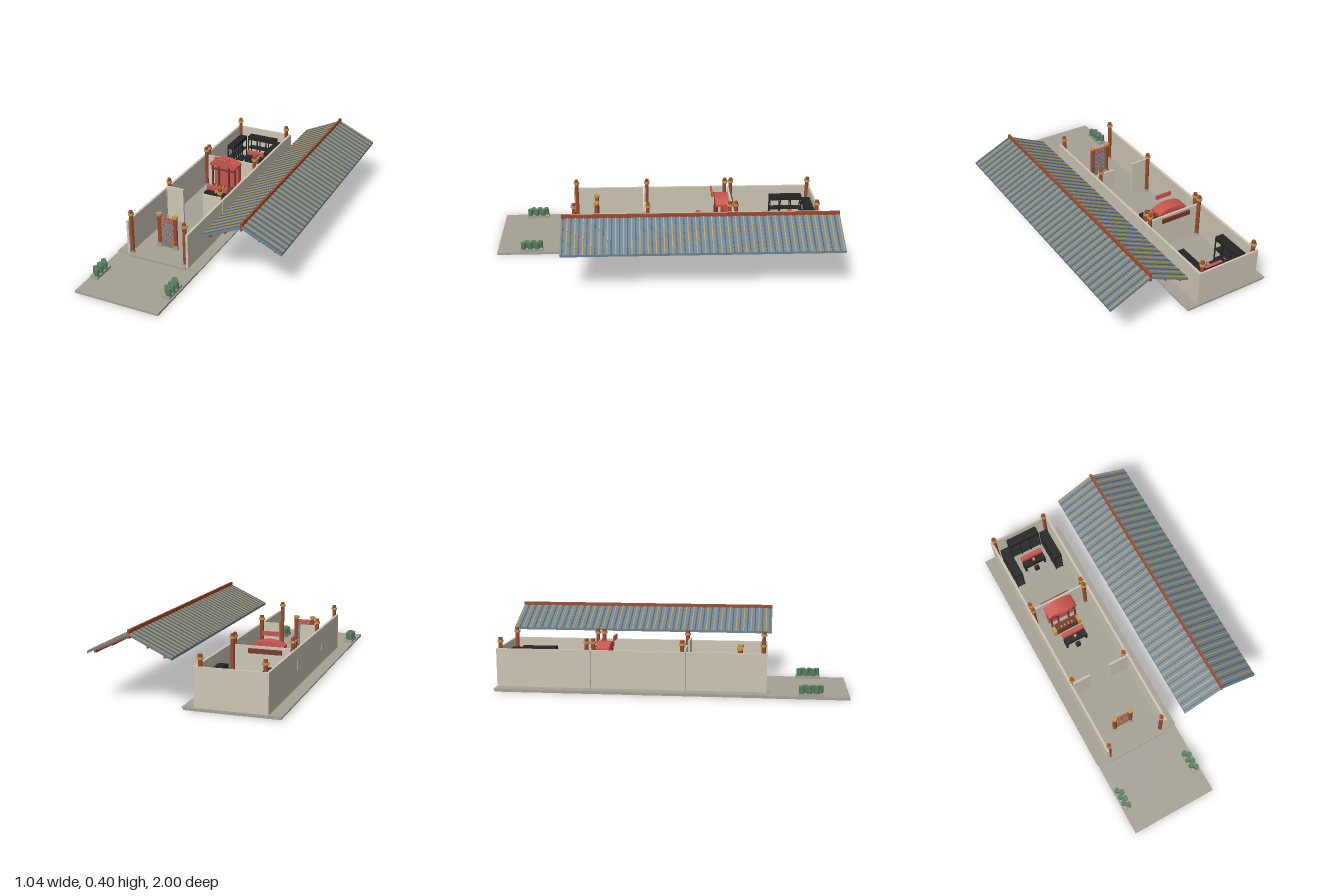
import * as THREE from 'three';

const mat = (name, color) => {
  const m = new THREE.MeshStandardMaterial({ color });
  m.name = name;
  return m;
};

export function createModel() {
  const stone = mat('stone grey', 0xa5a196);
  const plaster = mat('plaster', 0xcdc6b5);
  const timber = mat('red brown timber', 0x9c4a2e);
  const beamBrown = mat('dark timber', 0x74392a);
  const gold = mat('gold', 0xc0994f);
  const red = mat('lacquer red', 0xc9544e);
  const black = mat('black wood', 0x252525);
  const green = mat('leaf green', 0x587f5e);
  const slate = mat('slate blue', 0x6d8392);
  const darkSlate = mat('dark slate', 0x51616c);

  const root = new THREE.Group();
  const group = (name, parent = root) => {
    const g = new THREE.Group();
    g.name = name;
    parent.add(g);
    return g;
  };
  const add = (name, geo, m, parent) => {
    const mesh = new THREE.Mesh(geo, m);
    mesh.name = name;
    parent.add(mesh);
    return mesh;
  };
  // Box given by its limits on each axis
  const box = (name, m, [x0, x1], [y0, y1], [z0, z1], parent = root) => {
    const mesh = add(name, new THREE.BoxGeometry(x1 - x0, y1 - y0, z1 - z0), m, parent);
    mesh.position.set((x0 + x1) / 2, (y0 + y1) / 2, (z0 + z1) / 2);
    return mesh;
  };
  const cyl = (name, m, r, x, [y0, y1], z, parent, sides = 16) => {
    const mesh = add(name, new THREE.CylinderGeometry(r, r, y1 - y0, sides), m, parent);
    mesh.position.set(x, (y0 + y1) / 2, z);
    return mesh;
  };

  // Ground slabs and steps
  const base = group('base');
  box('forecourt', stone, [-0.515, 0.003], [0, 0.013], [0.545, 1], base);
  box('foundation', stone, [-0.512, 0.003], [0, 0.011], [-0.965, 0.545], base);
  box('plinth', stone, [-0.52, 0.01], [0.011, 0.018], [-0.97, 0.55], base);
  box('innerFloor', stone, [-0.437, -0.073], [0.018, 0.022], [-0.955, 0.55], base);
  box('threshold', stone, [-0.435, -0.07], [0.013, 0.024], [0.55, 0.565], base);

  // Outer walls in three bays, with a back wall and partitions
  const walls = group('walls');
  for (const [z0, z1] of [[-0.968, -0.433], [-0.43, 0.103], [0.106, 0.55]]) {
    box('leftWall', plaster, [-0.07, -0.056], [0.018, 0.234], [z0, z1], walls);
    box('rightWall', plaster, [-0.45, -0.436], [0.018, 0.234], [z0, z1], walls);
  }
  box('backWall', plaster, [-0.436, -0.07], [0.018, 0.234], [-0.968, -0.956], walls);
  box('rightPartition', plaster, [-0.432, -0.322], [0.02, 0.25], [0.092, 0.104], walls);
  box('leftPartition', plaster, [-0.19, -0.072], [0.02, 0.25], [0.092, 0.104], walls);
  box('rearPartition', plaster, [-0.436, -0.07], [0.02, 0.232], [-0.445, -0.433], walls);

  // Tall columns with capitals
  const columns = group('columns');
  for (const x of [-0.428, -0.085])
    for (const z of [0.53, 0.082, -0.417, -0.455, -0.948]) {
      cyl('columnFoot', stone, 0.015, x, [0.02, 0.034], z, columns);
      cyl('columnShaft', timber, 0.0115, x, [0.034, 0.295], z, columns);
      cyl('columnCapital', gold, 0.0175, x, [0.268, 0.281], z, columns);
    }

  // Ornamental screen between two short columns
  const screen = group('entranceScreen');
  for (const x of [-0.321, -0.216]) {
    cyl('screenFoot', stone, 0.017, x, [0.02, 0.047], 0.398, screen);
    cyl('screenColumn', timber, 0.0125, x, [0.047, 0.226], 0.398, screen);
    cyl('screenCapital', gold, 0.017, x, [0.226, 0.24], 0.398, screen);
  }
  box('screenPanel', slate, [-0.309, -0.228], [0.024, 0.188], [0.395, 0.401], screen);
  box('screenHeader', red, [-0.309, -0.228], [0.188, 0.218], [0.394, 0.402], screen);
  for (const side of [1, -1]) {
    const face = group('screenPattern', screen);
    face.position.set(-0.2685, 0, 0.398);
    face.rotation.y = side > 0 ? 0 : Math.PI;
    for (let i = 0; i < 5; i++)
      for (let j = 0; j < 10; j++) {
        const x = (i - 2) * 0.0155, y = 0.035 + j * 0.0158;
        const odd = (i + j) % 2;
        const tile = box('latticeTile', odd ? red : gold, [-0.005, 0.005], [-0.005, 0.005], [0.002, 0.004], face);
        tile.position.set(x, y, 0.0035);
        if (!odd) tile.rotation.z = Math.PI / 4;
        box('latticeStud', odd ? gold : darkSlate, [x - 0.002, x + 0.002], [y - 0.002, y + 0.002], [0.0045, 0.0055], face);
      }
    for (const x of [-0.025, 0, 0.025]) {
      const ring = add('headerRing', new THREE.TorusGeometry(0.0075, 0.002, 6, 16), slate, face);
      ring.position.set(x, 0.203, 0.004);
      box('headerStud', gold, [x - 0.003, x + 0.003], [0.2, 0.206], [0.003, 0.006], face);
    }
  }

  // Planters with clipped shrubs
  for (const x of [-0.484, -0.029]) {
    const planter = group('planter');
    box('planterTray', stone, [x - 0.024, x + 0.024], [0.013, 0.029], [0.72, 0.86], planter);
    for (let i = 0; i < 6; i++)
      cyl('shrub', green, 0.015, x + (i % 2 ? 0.01 : -0.01), [0.029, 0.07], 0.739 + i * 0.0204, planter, 12);
  }

  // Shrine with an arched canopy
  const shrine = group('shrine');
  const arch = new THREE.Shape();
  arch.moveTo(-0.093, 0.215);
  arch.lineTo(0.093, 0.215);
  arch.lineTo(0.093, 0.23);
  arch.quadraticCurveTo(0, 0.28, -0.093, 0.23);
  const canopy = add('canopy', new THREE.ExtrudeGeometry(arch, { depth: 0.08, bevelEnabled: false }), red, shrine);
  canopy.position.set(-0.27, 0, -0.42);
  box('shrineBack', red, [-0.355, -0.185], [0.022, 0.215], [-0.425, -0.39], shrine);
  for (const x of [-0.35, -0.305, -0.235, -0.19])
    box('shrinePost', beamBrown, [x - 0.005, x + 0.005], [0.022, 0.215], [-0.355, -0.345], shrine);
  box('shrineLintel', beamBrown, [-0.355, -0.185], [0.185, 0.195], [-0.356, -0.346], shrine);
  box('altarTable', beamBrown, [-0.34, -0.2], [0.022, 0.085], [-0.345, -0.3], shrine);
  for (const x of [-0.352, -0.188])
    box('altarSide', gold, [x - 0.011, x + 0.011], [0.022, 0.08], [-0.338, -0.298], shrine);
  for (let i = 0; i < 4; i++)
    cyl('offering', gold, 0.006, -0.306 + i * 0.024, [0.085, 0.097], -0.312, shrine, 10);
  box('rearBeam', beamBrown, [-0.365, -0.175], [0.192, 0.218], [-0.457, -0.445], shrine);

  // Hanging plaque with plain gold inlays
  const plaque = group('plaque');
  box('plaqueBoard', red, [-0.319, -0.217], [0.266, 0.291], [-0.325, -0.315], plaque);
  for (let i = 0; i < 4; i++) {
    const x = -0.289 + i * 0.014;
    box('plaqueInlay', gold, [x - 0.004, x + 0.004], [0.274, 0.283], [-0.315, -0.313], plaque);
  }

  // Black desks with a red back board and a stool
  for (const [x, z] of [[-0.262, -0.215], [-0.249, -0.8]]) {
    const desk = group('desk');
    desk.position.set(x, 0, z);
    box('deskTop', black, [-0.072, 0.072], [0.085, 0.095], [-0.02, 0.025], desk);
    for (const s of [-1, 1])
      box('deskSide', black, [s * 0.066 - 0.006, s * 0.066 + 0.006], [0.022, 0.085], [-0.018, 0.023], desk);
    box('deskFront', black, [-0.06, 0.06], [0.055, 0.085], [0.012, 0.02], desk);
    box('redBoard', red, [-0.072, 0.072], [0.09, 0.118], [-0.042, -0.016], desk);
    box('boardLegs', beamBrown, [-0.06, 0.06], [0.022, 0.09], [-0.036, -0.024], desk);
    cyl('bowl', gold, 0.009, 0, [0.095, 0.107], 0.002, desk, 12);
    box('stool', black, [-0.014, 0.014], [0.022, 0.06], [0.027, 0.048], desk);
  }

  // Open shelving around the rear room
  const shelf = (length, x, z, turn) => {
    const g = group('shelving');
    g.position.set(x, 0, z);
    g.rotation.y = turn;
    const h = length / 2;
    box('shelfTop', black, [-h, h], [0.165, 0.19], [-0.026, 0.026], g);
    box('middleShelf', black, [-h, h], [0.1, 0.105], [-0.025, 0.025], g);
    box('bottomShelf', black, [-h, h], [0.03, 0.035], [-0.025, 0.025], g);
    for (let i = 0; i < 4; i++)
      for (const d of [-0.023, 0.023]) {
        const px = -h + 0.003 + i * (length - 0.006) / 3;
        box('shelfPost', black, [px - 0.003, px + 0.003], [0.022, 0.165], [d - 0.003, d + 0.003], g);
      }
  };
  shelf(0.205, -0.389, -0.807, Math.PI / 2);
  shelf(0.205, -0.12, -0.802, Math.PI / 2);
  shelf(0.202, -0.251, -0.93, 0);

  // Detached pitched roof: every layer is a chevron section run along z
  const roof = group('roof');
  roof.position.x = 0.282;
  const chevron = (name, m, half, ridge, thick, z0, z1) => {
    const eave = ridge - half * 0.465;
    const s = new THREE.Shape();
    s.moveTo(-half, eave);
    s.lineTo(0, ridge);
    s.lineTo(half, eave);
    s.lineTo(half, eave + thick);
    s.lineTo(0, ridge + thick);
    s.lineTo(-half, eave + thick);
    const geo = new THREE.ExtrudeGeometry(s, { depth: z1 - z0, bevelEnabled: false });
    add(name, geo, m, roof).position.z = z0;
  };
  chevron('roofSheet', slate, 0.236, 0.373, 0.013, -1, 0.575);
  for (let i = 0; i < 70; i++) {
    const z = -0.99 + i * 0.0225;
    const ribMat = i % 2 ? darkSlate : gold;
    chevron('roofRib', ribMat, 0.237, 0.386, 0.003, z - 0.003, z + 0.003);
  }
  for (let i = 0; i < 30; i++) {
    const z = -0.975 + i * 0.0526;
    chevron('rafter', timber, 0.205, 0.364, 0.009, z - 0.006, z + 0.006);
  }
  box('ridgeBeam', timber, [-0.006, 0.006], [0.358, 0.403], [-1, 0.575], roof);
  for (const s of [-1, 1]) {
    box('eavePurlin', timber, [s * 0.194 - 0.006, s * 0.194 + 0.006], [0.269, 0.284], [-0.99, 0.565], roof);
    box('middlePurlin', timber, [s * 0.1 - 0.004, s * 0.1 + 0.004], [0.312, 0.324], [-0.99, 0.565], roof);
  }
  return root;
}
